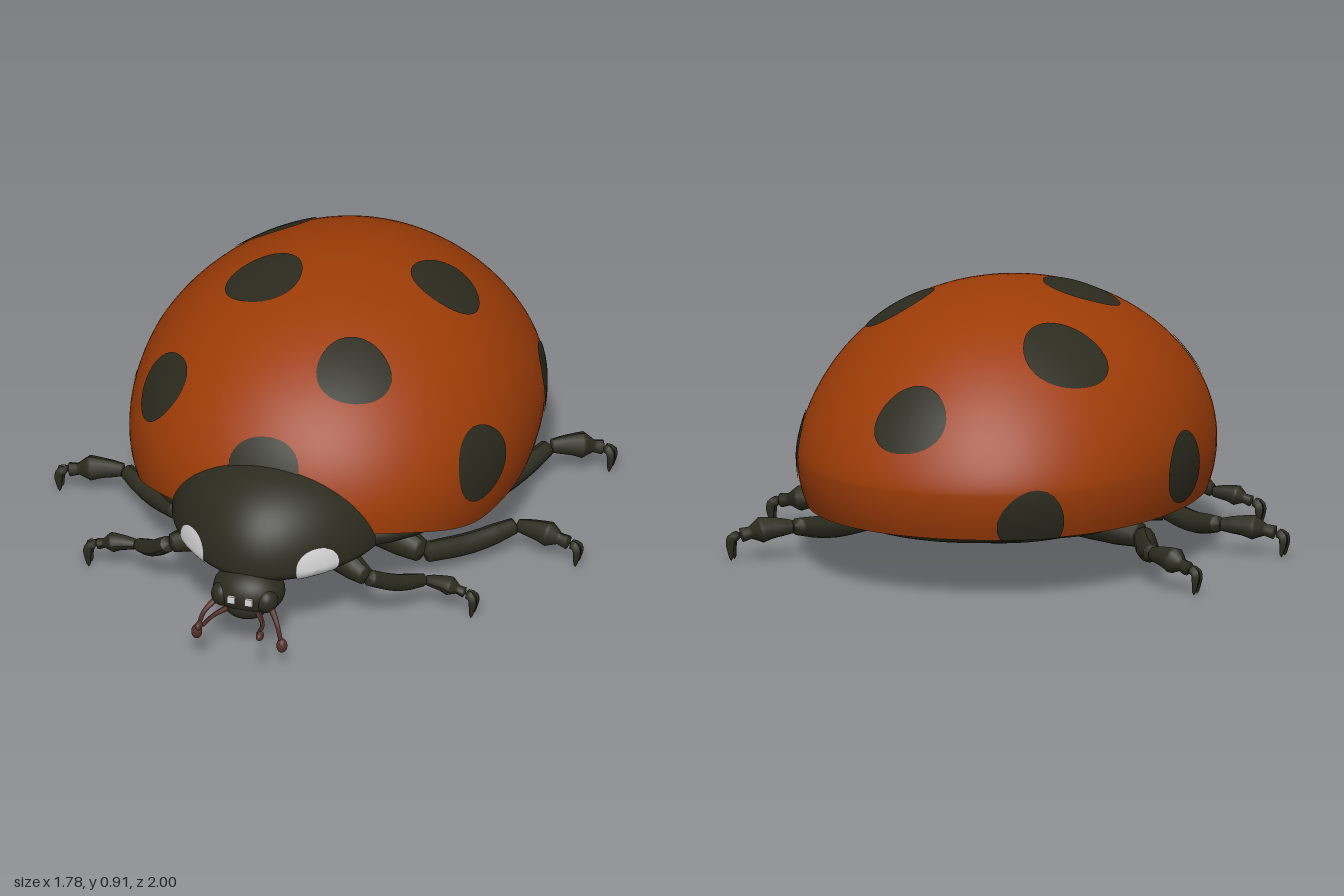
import * as THREE from 'three';
import { mergeVertices } from 'three/addons/utils/BufferGeometryUtils.js';

const V = (x, y, z) => new THREE.Vector3(x, y, z);
const paint = (name, color, side = THREE.FrontSide) => {
  const m = new THREE.MeshStandardMaterial({ color, side });
  m.name = name;
  return m;
};

// Egg-like forms: a centre, radii that differ per half, and a flattening power
const SHELL = {
  c: V(0, 0.36, -0.18),
  rad: d => {
    const k = 1 + 0.12 * d.x * d.x * d.z * d.z; // slightly square outline
    return [0.657 * k, 0.55, (d.z > 0 ? 0.78 : 0.82) * k];
  },
  pow: d => 1 + 0.35 * Math.max(0, -d.z),
  floor: -0.28,
};
const COLLAR = {
  c: V(0, 0.3, 0.5),
  rad: d => [0.35 * (1 - 0.25 * Math.max(0, d.z) / d.length()), d.y > 0 ? 0.26 : 0.09, d.z > 0 ? 0.31 : 0.05],
  pow: () => 1,
  floor: -1,
};

// Point of a form in unit direction d
function onForm(f, d) {
  const [w, h, a] = f.rad(d);
  const y = d.y > 0 ? Math.pow(d.y, f.pow(d)) : d.y;
  return V(f.c.x + w * d.x, f.c.y + h * y, f.c.z + a * d.z);
}

// Unit direction of the form's surface nearest to point p
function toDir(f, p) {
  const d = p.clone().sub(f.c);
  const [w, h, a] = f.rad(d);
  d.set(d.x / w, d.y / h, d.z / a);
  if (d.y > 0) d.y = Math.pow(d.y, 1 / f.pow(d));
  d.normalize();
  if (d.y < f.floor) {
    const k = Math.sqrt(1 - f.floor ** 2) / Math.hypot(d.x, d.z);
    d.set(d.x * k, f.floor, d.z * k);
  }
  return d;
}

function normalOf(f, d) {
  const [w, h, a] = f.rad(d);
  return V(d.x / w, d.y / h, d.z / a).normalize();
}

// Move every vertex by a rule and smooth the result
function reshape(geo, rule) {
  geo.deleteAttribute('uv');
  geo.deleteAttribute('normal');
  const pos = geo.attributes.position, v = V(0, 0, 0);
  for (let i = 0; i < pos.count; i++) {
    const r = rule(v.fromBufferAttribute(pos, i));
    pos.setXYZ(i, r.x, r.y, r.z);
  }
  const out = mergeVertices(geo);
  out.computeVertexNormals();
  return out;
}

// Dome of the wing shell, sunk by an inset; its lower rim rises at the front
function dome(inset) {
  return reshape(new THREE.SphereGeometry(1, 96, 40, 0, Math.PI * 2, 0, Math.PI / 2), p => {
    const flat = Math.hypot(p.x, p.z) || 1;
    const ax = p.x / flat, az = p.z / flat;
    const rim = Math.asin(-0.28 + 0.25 * THREE.MathUtils.smoothstep(az, 0.35, 0.95));
    const e = rim + (Math.PI / 2 - rim) * Math.asin(Math.min(1, Math.max(0, p.y))) / (Math.PI / 2);
    const d = V(ax * Math.cos(e), Math.sin(e), az * Math.cos(e));
    return onForm(SHELL, d).addScaledVector(normalOf(SHELL, d), -inset);
  });
}

// Thin round patch lying on a form
function patch(f, dir, rx, ry = rx, wobble = 0.04) {
  const d = V(...dir).normalize();
  const base = onForm(f, d);
  const q = new THREE.Quaternion().setFromUnitVectors(V(0, 0, 1), normalOf(f, d));
  return reshape(new THREE.RingGeometry(0.001, 1, 40, 6), p => {
    const k = 1 + wobble * Math.sin(3 * Math.atan2(p.y, p.x) + dir[0] * 9);
    const e = toDir(f, V(p.x * rx * k, p.y * ry * k, 0).applyQuaternion(q).add(base));
    return onForm(f, e).addScaledVector(normalOf(f, e), 0.004);
  });
}

// Tapered tube; radii are spread evenly along the path
function limb(points, radii, n = 30, sides = 10) {
  const curve = new THREE.CatmullRomCurve3(points.map(p => V(...p)), false, 'centripetal');
  const geo = new THREE.TubeGeometry(curve, n, 1, sides);
  const pos = geo.attributes.position, v = V(0, 0, 0);
  for (let i = 0; i <= n; i++) {
    const c = curve.getPointAt(i / n);
    const t = (i / n) * (radii.length - 1), k = Math.min(Math.floor(t), radii.length - 2);
    const r = i === 0 || i === n ? 0.001 : THREE.MathUtils.lerp(radii[k], radii[k + 1], t - k);
    for (let j = 0; j <= sides; j++) {
      const m = i * (sides + 1) + j;
      v.fromBufferAttribute(pos, m).sub(c).multiplyScalar(r).add(c);
      pos.setXYZ(m, v.x, v.y, v.z);
    }
  }
  geo.computeVertexNormals();
  return geo;
}

export function createModel() {
  const model = new THREE.Group();
  const orange = paint('shellOrange', 0x9e3c07);
  const dark = paint('bodyDark', 0x2b2b1f);
  const maroon = paint('bellyMaroon', 0x432524, THREE.DoubleSide);
  const white = paint('markWhite', 0xdadada);
  const brown = paint('feelerBrown', 0x54302a);
  const tan = paint('collarTan', 0x86693f);

  const add = (name, geo, mat, parent = model) => {
    const m = new THREE.Mesh(geo, mat);
    m.name = name;
    parent.add(m);
    return m;
  };
  const blob = (name, mat, c, r) => {
    const m = add(name, new THREE.SphereGeometry(1, 32, 20), mat);
    m.position.set(...c);
    m.scale.set(...r);
  };

  // Wing shell with a dark red lining
  add('wingShell', dome(0), orange);
  add('shellLining', dome(0.008), maroon);

  // Spots: direction on the shell and radius
  const spots = [
    [[0.13, 0.483, -0.866], 0.128], [[-0.496, 0.749, -0.44], 0.15], [[0.525, 0.84, -0.134], 0.13],
    [[-0.328, 0.934, 0.141], 0.135], [[-0.687, 0.458, 0.564], 0.122], [[0.298, 0.774, 0.558], 0.125],
    [[-0.03, 0.32, 0.947], 0.12], [[0.903, 0.145, 0.404], 0.13], [[0.909, 0.03, -0.415], 0.13],
    [[-0.99, -0.02, -0.128], 0.122], [[-0.5, -0.18, -0.85], 0.115],
  ];
  spots.forEach(([d, r]) => add('shellSpot', patch(SHELL, d, r), dark));

  // Neck shield with pale cheek marks and a tan band tucked underneath
  add('neckShield', reshape(new THREE.SphereGeometry(1, 48, 32), p => onForm(COLLAR, p)), dark);
  for (const s of [-1, 1]) add('cheekMark', patch(COLLAR, [s * 0.74, -0.02, 0.68], 0.08, 0.08), white);
  add('neckBand', limb([[-0.24, 0.25, 0.54], [-0.15, 0.222, 0.61], [0, 0.212, 0.64], [0.15, 0.222, 0.61],
    [0.24, 0.25, 0.54]], [0.008, 0.016, 0.016, 0.016, 0.008]), tan);

  // Underside: maroon rim, wide ridged belly, chest filling the front of the shell
  blob('bellyRim', maroon, [0, 0.215, -0.24], [0.615, 0.065, 0.71]);
  const belly = add('belly', reshape(new THREE.SphereGeometry(1, 48, 90).rotateX(Math.PI / 2), p => {
    const band = ((p.z + 1) * 4) % 1;
    const k = 0.95 + 0.08 * (1 - band);
    return V(p.x * 0.55 * k, p.y * 0.08 * k, p.z * 0.68);
  }), dark);
  belly.position.set(0, 0.203, -0.23);
  blob('chest', dark, [0, 0.29, 0.12], [0.55, 0.12, 0.44]);
  blob('frontChest', dark, [0, 0.265, 0.34], [0.34, 0.1, 0.28]);
  blob('breastPlate', dark, [0, 0.16, 0.03], [0.3, 0.08, 0.24]);

  // Head
  blob('head', dark, [0, 0.22, 0.765], [0.12, 0.085, 0.1]);
  blob('snout', dark, [0, 0.18, 0.8], [0.075, 0.048, 0.06]);
  const browMark = new THREE.BoxGeometry(0.026, 0.026, 0.008);
  for (const s of [-1, 1]) {
    blob('eye', dark, [s * 0.075, 0.215, 0.815], [0.038, 0.042, 0.04]);
    add('browMark', browMark, white).position.set(s * 0.03, 0.226, 0.864);

    // Feelers and mouth palps with knobbed ends
    add('palp', limb([[s * 0.05, 0.175, 0.83], [s * 0.085, 0.17, 0.89], [s * 0.095, 0.18, 0.97]],
      [0.01, 0.007, 0.007]), brown);
    blob('palpKnob', brown, [s * 0.105, 0.182, 0.98], [0.012, 0.015, 0.02]);
    add('feeler', limb([[s * 0.09, 0.2, 0.82], [s * 0.125, 0.16, 0.86], [s * 0.143, 0.1, 0.872]],
      [0.012, 0.008, 0.007]), brown);
    blob('feelerKnob', brown, [s * 0.146, 0.088, 0.872], [0.018, 0.025, 0.018]);
  }

  // Legs: hip, knee, ankle and toe; the far foot of a pair stands further ahead
  const legs = [
    { name: 'frontLeg', hip: [0.12, 0.24, 0.45], knee: [0.34, 0.2, 0.56], ankle: [0.48, 0.11, 0.42],
      toe: [0.62, 0.085, 0.42], size: 0.8, shift: 0.04 },
    { name: 'middleLeg', hip: [0.1, 0.15, 0.1], knee: [0.42, 0.095, 0.2], ankle: [0.66, 0.1, -0.01],
      toe: [0.85, 0.08, 0.015], size: 1, shift: 0.035 },
    { name: 'hindLeg', hip: [0.1, 0.14, -0.1], knee: [0.46, 0.08, -0.15], ankle: [0.62, 0.11, -0.52],
      toe: [0.78, 0.085, -0.605], size: 1.05, shift: 0 },
  ];
  for (const L of legs) for (const s of [-1, 1]) {
    const leg = new THREE.Group();
    leg.name = L.name;
    model.add(leg);
    const at = (p, k = 0) => [p[0] * s, p[1], p[2] - s * L.shift * k];
    const hip = at(L.hip), knee = at(L.knee), ankle = at(L.ankle, 1), toe = at(L.toe, 1);
    const r = (...list) => list.map(x => x * L.size);
    const mid = (a, b, t, lift) => a.map((x, i) => x + (b[i] - x) * t + (i === 1 ? lift : 0));
    add('thigh', limb([hip, mid(hip, knee, 0.5, 0.005), knee], r(0.05, 0.065, 0.062, 0.054, 0.036)), dark, leg);
    add('shin', limb([knee, mid(knee, ankle, 0.5, -0.015), ankle], r(0.034, 0.036, 0.036, 0.034, 0.026)), dark, leg);
    add('foot', limb([ankle, mid(ankle, toe, 0.5, 0.008), toe], r(0.02, 0.028, 0.034, 0.042, 0.02, 0.024)), dark, leg);
    for (const c of [-1, 1]) {
      const [x, y, z] = toe;
      add('claw', limb([[x, y, z], [x + s * 0.025, y - 0.01, z + c * 0.01], [x + s * 0.022, 0.003, z + c * 0.016]],
        [0.017, 0.014, 0.005], 10, 6), dark, leg);
    }
  }
  return model;
}
